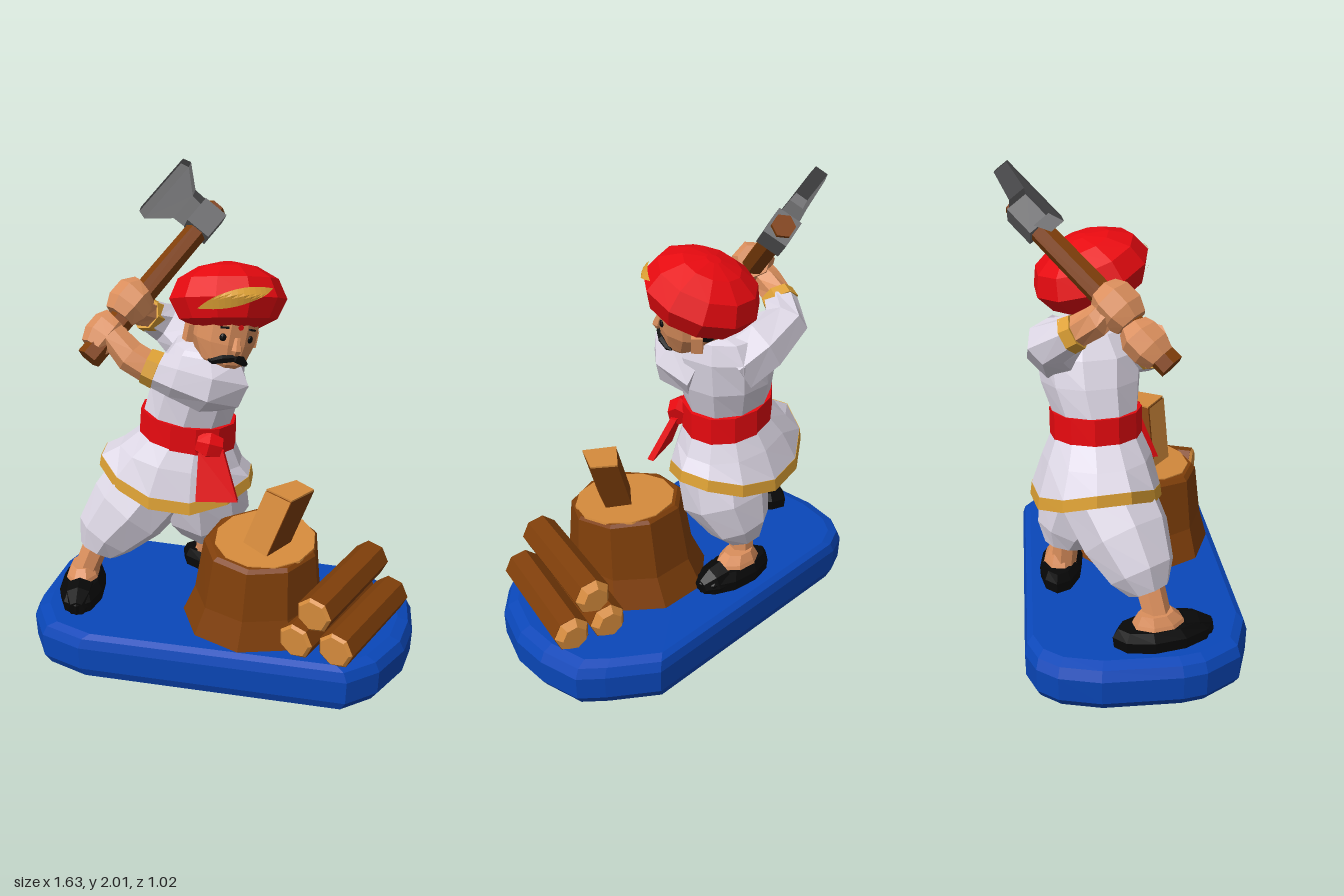
import * as THREE from 'three';

const V = (x, y, z) => new THREE.Vector3(x, y, z);
const mat = (name, color) => {
  const m = new THREE.MeshStandardMaterial({ color });
  m.name = name;
  return m;
};

// Flat-faced skin over a list of point rings, closed at both ends.
function loft(rings) {
  const p = [], n = rings[0].length;
  const tri = (...vs) => vs.forEach(v => p.push(v.x, v.y, v.z));
  for (let i = 0; i < rings.length - 1; i++) {
    for (let j = 0; j < n; j++) {
      const k = (j + 1) % n, a = rings[i], b = rings[i + 1];
      tri(a[j], b[j], b[k]);
      tri(a[j], b[k], a[k]);
    }
  }
  [rings[0], rings[rings.length - 1]].forEach((r, end) => {
    const c = r.reduce((s, v) => s.add(v), V(0, 0, 0)).divideScalar(n);
    for (let j = 0; j < n; j++) {
      const a = r[j], b = r[(j + 1) % n];
      if (end) tri(c, b, a); else tri(c, a, b);
    }
  });
  const g = new THREE.BufferGeometry();
  g.setAttribute('position', new THREE.Float32BufferAttribute(p, 3));
  g.computeVertexNormals();
  return g;
}

// Level elliptical ring; tilt raises it along x.
function ring([x, y, z, rx, rz = rx, tilt = 0], n = 10) {
  return Array.from({ length: n }, (_, i) => {
    const a = (i + 0.5) / n * Math.PI * 2;
    return V(x + rx * Math.cos(a), y + tilt * rx * Math.cos(a), z + rz * Math.sin(a));
  });
}
const stack = (rows, n) => loft(rows.map(r => ring(r, n)));

// Tube with its own radius at every point [x, y, z, r].
function limb(pts, n = 7) {
  const P = pts.map(q => V(q[0], q[1], q[2])), last = P.length - 1;
  const ref = Math.abs(P[last].clone().sub(P[0]).normalize().z) > 0.8 ? V(0, 1, 0) : V(0, 0, 1);
  return loft(P.map((c, i) => {
    const d = P[Math.min(i + 1, last)].clone().sub(P[Math.max(i - 1, 0)]).normalize();
    const v = ref.clone().addScaledVector(d, -ref.dot(d)).normalize();
    const u = d.clone().cross(v);
    return Array.from({ length: n }, (_, j) => {
      const a = j / n * Math.PI * 2, r = pts[i][3];
      return c.clone().addScaledVector(u, r * Math.cos(a)).addScaledVector(v, r * Math.sin(a));
    });
  }));
}

const flat = g => {
  const f = g.index ? g.toNonIndexed() : g;
  f.computeVertexNormals();
  return f;
};
const sheet = points => flat(new THREE.BufferGeometry().setFromPoints(points));

export function createModel() {
  const model = new THREE.Group();
  const blue = mat('base blue', 0x0a47b9), white = mat('cloth white', 0xdcd6e4), red = mat('cloth red', 0xec0a10);
  const gold = mat('trim gold', 0xdca034), skin = mat('skin', 0xdb8f5d), black = mat('black', 0x080808);
  const bark = mat('bark brown', 0x803f0a), wood = mat('cut wood', 0xd58b3c), steel = mat('steel grey', 0x6e6e70);
  const add = (name, geo, material, parent = model) => {
    const m = new THREE.Mesh(geo, material);
    m.name = name;
    parent.add(m);
    return m;
  };
  const group = (name, x, y, z, parent = model) => {
    const g = new THREE.Group();
    g.name = name;
    g.position.set(x, y, z);
    parent.add(g);
    return g;
  };

  // Base slab
  const outline = [[-.52, -.51], [.59, -.33], [.745, -.17], [.815, -.08], [.815, .1], [.775, .26], [.67, .425], [.54, .515],
    [-.57, .385], [-.74, .3], [-.81, .145], [-.815, .05], [-.77, -.26], [-.705, -.415], [-.63, -.485]];
  add('base', loft([[0, .96], [.04, .995], [.14, 1], [.18, .975], [.195, .92]]
    .map(([y, s]) => outline.map(([x, z]) => V(x * s, y, z * s)))), blue);

  // Chopping stump, sloping slightly to the front
  const top = (x, y, r, n) => ring([x, y, .14, r], n).map(v => v.setY(y - (v.z - .15) * .1));
  add('stump', loft([ring([.15, .18, .115, .32], 9), ring([.16, .32, .13, .27], 9), top(.17, .55, .24, 9), top(.175, .565, .225, 9)]), bark);
  add('stumpTop', loft([top(.185, .56, .212, 12), top(.185, .569, .21, 12)]), wood);

  // Split block standing on the stump: bark with cut face and cut top
  const foot = [[.095, .175], [.21, .08], [.285, .16], [.2, .27]];
  const low = foot.map(([x, z]) => V(x, .55, z)), high = foot.map(([x, z]) => V(x + .095, .805, z));
  add('splitBlock', loft([low, high]), bark);
  add('splitBlockTop', loft([high, high.map(v => v.clone().setY(.812))]), wood);
  const cut = [low[0], low[3], high[3], high[0]].map(v => v.clone().add(V(-.004, 0, .004)));
  add('splitBlockFace', sheet([0, 1, 2, 0, 2, 3].map(i => cut[i])), wood);

  // Log pile, the cut ends slightly domed
  [[.33, .262, .42, .59, .27, -.08], [.49, .262, .47, .73, .265, -.01], [.4, .4, .44, .64, .41, -.05]].forEach(l => {
    const a = V(l[0], l[1], l[2]), b = V(l[3], l[4], l[5]), d = b.clone().sub(a).normalize();
    const b1 = b.clone().addScaledVector(d, -.02);
    add('log', limb([[...a, .078], [...b1, .077]], 7), bark);
    add('logEnd', limb([[...a.clone().addScaledVector(d, -.012), .064], [...a, .076]], 7), wood);
    add('logEnd', limb([[...b1, .075], [...b.clone().addScaledVector(d, .012), .052]], 7), wood);
  });

  // Shoes with toe caps and bare insteps
  [[-.622, .02, .06, .2, .097], [-.04, -.267, 1.28, .185, .09]].forEach(([x, z, yaw, len, w]) => {
    const g = group('foot', x, .19, z);
    g.rotation.y = yaw;
    add('shoe', stack([[0, 0, 0, w * .97, len], [0, .05, 0, w, len * 1.03], [0, .085, -.01, w * .78, len * .87]], 10), black, g);
    add('toeCap', limb([[0, .04, .07, .076], [0, .035, .13, .068], [0, .03, len * .98, .035]], 8), black, g);
    add('instep', stack([[0, .07, -.02, .078, .115], [0, .1, -.02, .068, .1], [0, .135, -.03, .05, .07]], 8), skin, g);
  });
  add('rightAnkle', limb([[-.62, .28, 0, .055], [-.55, .45, -.03, .06]]), skin);
  add('leftAnkle', limb([[-.1, .26, -.27, .052], [-.11, .42, -.26, .056]]), skin);

  // Baggy trousers
  add('rightTrouserLeg', limb([[-.555, .385, -.02, .085], [-.525, .45, -.04, .135], [-.43, .56, -.08, .18],
    [-.32, .69, -.13, .19], [-.24, .8, -.14, .16]], 8), white);
  add('leftTrouserLeg', limb([[-.12, .37, -.265, .085], [-.11, .43, -.25, .135], [-.1, .55, -.185, .19],
    [-.11, .68, -.15, .19], [-.15, .8, -.14, .15]], 8), white);

  // Tunic skirt with gold hem
  const hem = (lift, s) => ring([-.222, 0, -.155, .338 * s, .26 * s], 12).map(v => {
    const t = (v.x + .2) / .33;
    return v.setY(.635 + lift + .09 * t * t - .025 * t);
  });
  add('hem', loft([hem(0, 1), hem(.052, .975)]), gold);
  add('skirt', loft([hem(.052, .97), ring([-.2, .82, -.145, .265, .215, -.14], 12), ring([-.17, .91, -.14, .195, .175, -.14], 12)]), white);
  add('sash', stack([[-.17, .89, -.14, .207, .182, -.14], [-.165, 1.005, -.14, .203, .182, -.14]], 12), red);
  add('sashKnot', limb([[-.11, .935, .02, .04], [-.065, .925, .022, .058], [-.015, .91, .01, .045]], 6), red);
  const tailRing = (x, y, z, w) => [V(x - w, y + .01, z - .02), V(x + w, y, z - .04), V(x + w, y, z - .01), V(x - w, y + .01, z + .02)];
  add('sashTail', loft([tailRing(-.02, .71, .118, .085), tailRing(-.05, .9, .045, .05)]), red);

  // Torso
  add('torso', stack([[-.17, .99, -.14, .19, .17, -.14], [-.13, 1.12, -.15, .195, .2, -.1], [-.1, 1.24, -.145, .18, .215],
    [-.08, 1.32, -.15, .14, .16], [-.05, 1.35, -.13, .08, .08]], 10), white);
  add('neck', limb([[-.05, 1.3, -.12, .075], [-.01, 1.4, -.09, .08]]), skin);

  // Arms, both reaching to the axe handle
  add('leftSleeve', limb([[-.01, 1.15, -.11, .1], [-.005, 1.185, -.01, .115], [-.08, 1.2, .05, .108], [-.19, 1.24, .06, .09], [-.275, 1.265, .055, .075]]), white);
  add('leftCuff', limb([[-.26, 1.26, .056, .08], [-.308, 1.278, .052, .075]]), gold);
  add('leftForearm', limb([[-.29, 1.268, .053, .068], [-.37, 1.31, .04, .068], [-.45, 1.39, .01, .055]]), skin);
  add('rightSleeve', limb([[-.07, 1.2, -.22, .13], [-.16, 1.27, -.29, .125], [-.28, 1.335, -.335, .092], [-.345, 1.385, -.27, .07]]), white);
  add('rightCuff', limb([[-.338, 1.378, -.28, .074], [-.358, 1.4, -.245, .07]]), gold);
  add('rightForearm', limb([[-.35, 1.39, -.26, .062], [-.385, 1.44, -.18, .062], [-.39, 1.49, -.12, .055]]), skin);

  // Axe: local y runs along the handle, local x towards the cutting edge
  const butt = V(-.54, 1.3, .06), tip = V(-.075, 1.815, -.42);
  const h = tip.clone().sub(butt).normalize();
  const b = V(-.175, .14, -.03);
  b.addScaledVector(h, -b.dot(h)).normalize();
  const axe = group('axe', butt.x, butt.y, butt.z);
  axe.quaternion.setFromRotationMatrix(new THREE.Matrix4().makeBasis(b, h, b.clone().cross(h)));
  const len = tip.distanceTo(butt), headY = len - .08;
  add('handle', limb([[0, 0, 0, .052], [0, len, 0, .046]], 6), bark, axe);
  const blade = [[.03, -.06, .042], [.11, -.065, .036], [.2, -.15, .03], [.235, -.14, .026]];
  add('blade', loft(blade.map(([x, y, t]) => [V(x, headY + y, -t), V(x, headY - y, -t), V(x, headY - y, t), V(x, headY + y, t)])), steel, axe);
  add('socket', flat(new THREE.BoxGeometry(.11, .125, .1)), steel, axe).position.y = headY;
  [[.13, .08], [.295, .09]].forEach(([y, r], i) => {
    add('hand', limb([[.01, y - .08, .01, r * .75], [.014, y - .03, .01, r], [.014, y + .03, .01, r], [.01, y + .07, 0, r * .75]], 7), skin, axe)
      .rotation.y = i;
  });

  // Head, turned to its left and tipped over a little
  const head = group('head', -.008, 1.395, -.08);
  head.rotation.set(0, .5, -.22);
  add('face', stack([[0, -.165, .055, .045, .04], [0, -.11, .02, .1, .115], [0, -.03, 0, .137, .142], [0, .07, 0, .14, .14], [0, .15, 0, .1, .1]], 12), skin, head);
  add('nose', limb([[0, .005, .135, .012], [0, -.045, .149, .022], [0, -.06, .143, .015]], 6), skin, head);
  add('foreheadMark', flat(new THREE.CircleGeometry(.012, 8)), red, head).position.set(0, .05, .146);
  add('hair', flat(new THREE.LatheGeometry([[.13, -.04], [.147, -.015], [.15, .08]].map(q => new THREE.Vector2(...q)),
    8, Math.PI * .56, Math.PI * .88)), black, head);
  for (const s of [-1, 1]) {
    const eye = add('eye', flat(new THREE.SphereGeometry(1, 8, 5)), black, head);
    eye.position.set(s * .06, 0, .126);
    eye.scale.set(.014, .016, .008);
    eye.rotation.y = s * .45;
    const brow = add('brow', flat(new THREE.BoxGeometry(.035, .007, .009)), black, head);
    brow.position.set(s * .06, .04, .127);
    brow.rotation.set(0, s * .45, -s * .15);
    const half = [[0, -.078, .142, .014], [s * .04, -.088, .128, .018], [s * .072, -.108, .101, .013], [s * .086, -.108, .087, .004]];
    add('moustache', limb(half, 6), black, head);
    add('ear', flat(new THREE.BoxGeometry(.03, .07, .045)), skin, head).position.set(s * .142, -.03, -.02);
  }

  // Turban, tipped backwards, with a gold crescent on the brow
  const turban = group('turban', .002, 1.52, -.12);
  turban.rotation.set(-.33, .35, -.08, 'YXZ');
  const profile = [[-.125, .13], [-.09, .2], [-.01, .24], [.07, .205], [.12, .12], [.14, .03]];
  add('turbanWrap', stack(profile.map(([y, r]) => [0, y, 0, r]), 11), red, turban);
  const onTurban = (a, y) => {
    const i = Math.max(1, profile.findIndex(q => q[0] >= y)), [y0, r0] = profile[i - 1], [y1, r1] = profile[i];
    const r = r0 + (r1 - r0) * (y - y0) / (y1 - y0) + .005;
    return V(r * Math.sin(a), y, r * Math.cos(a));
  };
  // the crescent is laid in narrow rows so that it follows the wrap
  const at = (k, row) => {
    const t = k / 14;
    return onTurban(-.8 + 1.45 * t, -.055 + .08 * t + row * .011 * Math.sin(Math.PI * t));
  };
  const strip = [];
  for (let k = 0; k < 14; k++) {
    for (let row = -3; row < 3; row++) {
      const [p, q, r, s] = [at(k, row), at(k + 1, row), at(k + 1, row + 1), at(k, row + 1)];
      strip.push(p, q, r, p, r, s);
    }
  }
  add('turbanBand', sheet(strip), gold, turban);

  return model;
}
